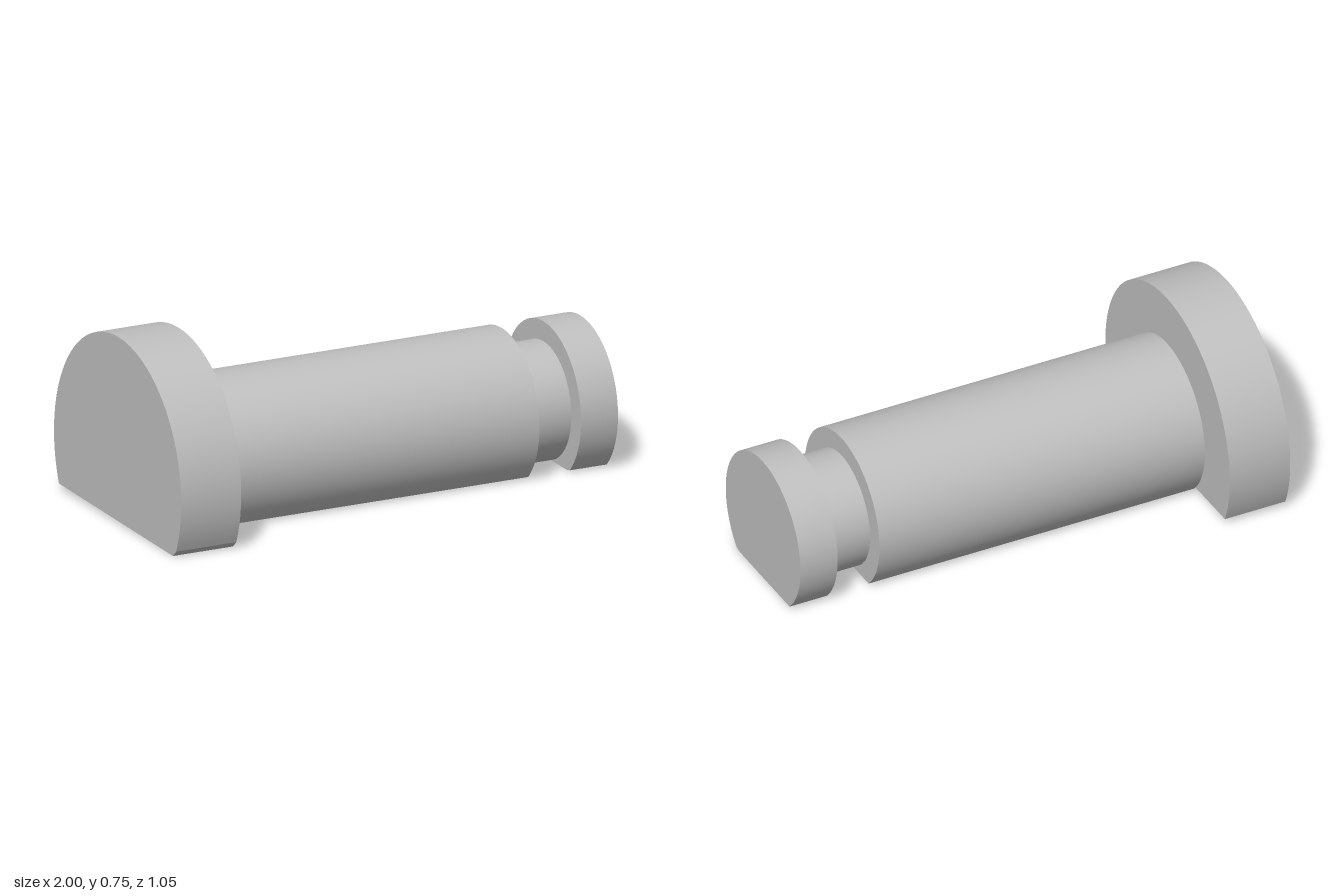
import * as THREE from 'three';
import { toCreasedNormals } from 'three/addons/utils/BufferGeometryUtils.js';

const AXIS_Y = 0.228;

// Round section cut flat at y = 0; the arc stops at arcEndY and runs in to the flat edge.
function section(radius, arcEndY, flatHalf) {
  const a = Math.asin((arcEndY - AXIS_Y) / radius);
  const shape = new THREE.Shape();
  shape.moveTo(flatHalf, 0);
  shape.absarc(0, AXIS_Y, radius, a, Math.PI - a, false);
  shape.lineTo(-flatHalf, 0);
  shape.closePath();
  return shape;
}

export function createModel() {
  const steel = new THREE.MeshStandardMaterial({ color: 0xbfbfbf });
  steel.name = 'grey steel';
  const pin = new THREE.Group();
  pin.name = 'groovedPin';

  // name, x start, x end, radius, height where the arc ends, half width of the flat
  const parts = [
    ['head', -1, -0.74, 0.525, 0.025, 0.457],
    ['shaft', -0.74, 0.66, 0.315, 0.005, 0.195],
    ['grooveNeck', 0.66, 0.84, 0.235, 0.001, 0.055],
    ['endCollar', 0.84, 1, 0.315, 0.005, 0.195],
  ];
  for (const [name, x0, x1, radius, arcEndY, flatHalf] of parts) {
    const extruded = new THREE.ExtrudeGeometry(section(radius, arcEndY, flatHalf), {
      depth: x1 - x0, bevelEnabled: false, curveSegments: 40,
    });
    extruded.rotateY(Math.PI / 2);
    extruded.translate(x0, 0, 0);
    const mesh = new THREE.Mesh(toCreasedNormals(extruded, 0.35), steel);
    mesh.name = name;
    pin.add(mesh);
  }
  return pin;
}
